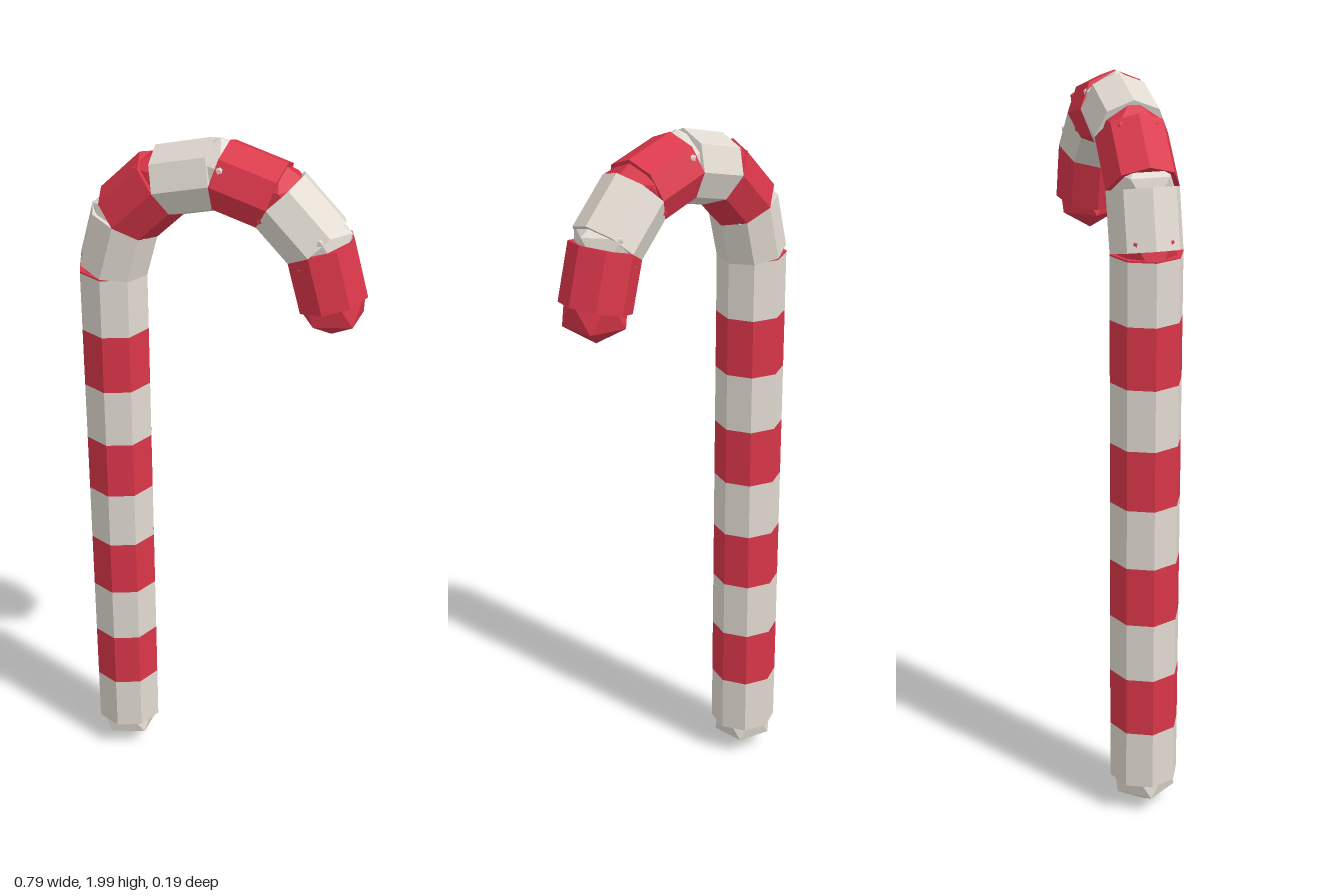
import * as THREE from 'three';

export function createModel() {
  const group = new THREE.Group();
  const white = new THREE.MeshStandardMaterial({ color: 0xe0d9d0, flatShading: true });
  white.name = 'cream white';
  const red = new THREE.MeshStandardMaterial({ color: 0xd93649, flatShading: true });
  red.name = 'candy red';

  const R = 0.095;        // stick radius
  const HOOK = 0.3;       // hook radius
  const BASE = 0.1, TOP = 1.6;

  function add(name, geometry, material, x, y) {
    const mesh = new THREE.Mesh(geometry, material);
    mesh.name = name;
    mesh.position.set(x, y, 0);
    group.add(mesh);
    return mesh;
  }

  // Faceted ball with a vertex straight up and down
  const ball = new THREE.IcosahedronGeometry(R, 0);
  ball.rotateX(-Math.atan((1 + Math.sqrt(5)) / 2));
  ball.rotateY(Math.PI / 2);

  // Straight striped shaft: nine bands and a thin red rim on top
  const step = 0.1662;
  for (let i = 0; i < 10; i++) {
    const y0 = BASE + i * step;
    const y1 = Math.min(y0 + step, TOP);
    const closed = i === 0 || i === 9;
    add('shaftBand' + i, new THREE.CylinderGeometry(R, R, y1 - y0, 8, 1, !closed),
      i % 2 ? red : white, -HOOK, (y0 + y1) / 2);
  }
  add('bottomTip', ball, white, -HOOK, BASE);

  // Hook: six straight segments around a half circle, with a ball at each joint
  const points = [];
  for (let i = 0; i <= 6; i++) {
    const a = Math.PI * (1 - i / 6);
    points.push(new THREE.Vector3(HOOK * Math.cos(a), TOP + HOOK * Math.sin(a), 0));
  }
  points.forEach((p, i) => {
    add(i === 6 ? 'hookTip' : 'hookJoint' + i, ball, i % 2 ? white : red, p.x, p.y);
    if (i === 6) return;
    const d = points[i + 1].clone().sub(p);
    const segment = add('hookSegment' + i, new THREE.CylinderGeometry(R, R, d.length(), 8),
      i % 2 ? red : white, p.x + d.x / 2, p.y + d.y / 2);
    segment.rotation.z = Math.atan2(-d.x, d.y);
  });

  return group;
}
